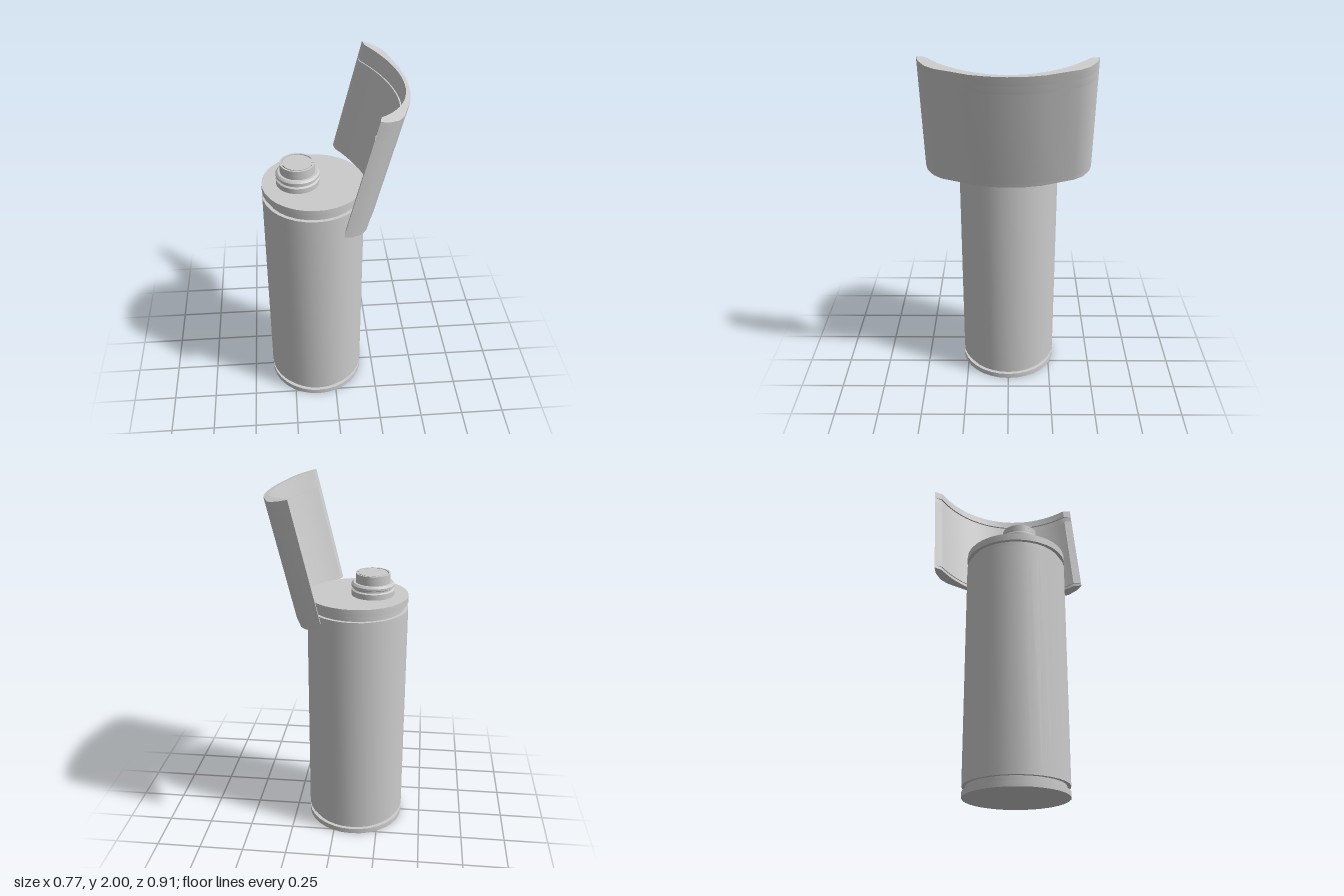
import * as THREE from 'three';
import { toCreasedNormals } from 'three/addons/utils/BufferGeometryUtils.js';

const grey = new THREE.MeshStandardMaterial({ color: 0xcccccc, side: THREE.DoubleSide });

function part(name, geometry, x = 0, y = 0, z = 0) {
  const mesh = new THREE.Mesh(geometry, grey);
  mesh.name = name;
  mesh.position.set(x, y, z);
  return mesh;
}

// Turned solid from [radius, height] pairs, listed bottom to top
function turned(profile, segments = 32) {
  const points = profile.map(([r, y]) => new THREE.Vector2(r, y));
  return toCreasedNormals(new THREE.LatheGeometry(points, segments), 0.5);
}

// Flat outline in x and z, extruded upward
function upright(shape, height, curveSegments = 24) {
  const geometry = new THREE.ExtrudeGeometry(shape, { depth: height, bevelEnabled: false, curveSegments });
  geometry.rotateX(-Math.PI / 2);
  return toCreasedNormals(geometry, 0.5);
}

// Cross-section of the curved shield: rounded outside, circular inside
function shieldSection(recess) {
  const half = [[0, 0.453], [0.045, 0.44], [0.095, 0.403], [0.125, 0.355], [0.15, 0.275], [0.18, 0.185], [0.195, 0.095]];
  const outer = [...half, [0.2, 0], ...half.map(([u, w]) => [u, -w]).reverse()];
  const sag = 0.171, chord = 0.407, start = 0.008;
  const radius = (chord * chord + sag * sag) / (2 * sag);
  const centre = start + sag - radius;
  const sweep = Math.asin(chord / radius);
  const inner = [];
  for (let i = 0; i <= 20; i++) {
    const a = -sweep + (2 * sweep * i) / 20;
    inner.push([centre + (radius + recess) * Math.cos(a), (radius + recess) * Math.sin(a)]);
  }
  return new THREE.Shape([...outer, ...inner].map(([u, w]) => new THREE.Vector2(u, w)));
}

export function createModel() {
  const model = new THREE.Group();
  model.name = 'canisterWithShield';

  // Canister with a groove near each end
  model.add(part('canister', turned([
    [0, 0], [0.28, 0], [0.28, 0.03], [0.26, 0.03], [0.26, 0.058], [0.28, 0.058],
    [0.28, 1.328], [0.26, 1.328], [0.26, 1.36], [0.28, 1.36], [0.28, 1.4], [0, 1.4],
  ]), -0.107));

  // Valve on top, off centre
  const valve = new THREE.Group();
  valve.name = 'valve';
  valve.position.set(-0.19, 1.4, 0);
  valve.add(part('valveCollar', turned([
    [0.118, 0], [0.118, 0.03], [0.108, 0.036], [0.108, 0.044], [0.118, 0.05],
    [0.118, 0.062], [0.108, 0.072], [0.095, 0.072], [0.095, 0.108], [0, 0.108],
  ])));

  // Valve cap with a C-shaped slot and a small marker in its gap
  const cap = new THREE.Shape().absarc(0, 0, 0.095, 0, Math.PI * 2);
  const slot = new THREE.Path();
  slot.absarc(0, 0, 0.085, 0.4, Math.PI * 2 - 0.4, false);
  slot.absarc(0, 0, 0.079, Math.PI * 2 - 0.4, 0.4, true);
  cap.holes.push(slot);
  valve.add(part('valveCap', upright(cap, 0.017), 0, 0.106));
  valve.add(part('valveMarker', new THREE.BoxGeometry(0.018, 0.004, 0.013), 0.082, 0.123));
  model.add(valve);

  // Leaning curved shield, recessed inside near the rim and at the foot
  const shield = new THREE.Group();
  shield.name = 'shield';
  shield.position.set(0.028, 1.354, 0);
  shield.rotation.set(0, -0.016, -0.241);
  const bands = [
    ['shieldFoot', 0, 0.02, 0.005],
    ['shieldWall', 0.02, 0.565, 0],
    ['shieldGroove', 0.565, 0.61, 0.008],
    ['shieldRim', 0.61, 0.662, 0],
  ];
  for (const [name, from, to, recess] of bands) {
    shield.add(part(name, upright(shieldSection(recess), to - from), 0, from));
  }
  model.add(shield);

  return model;
}
